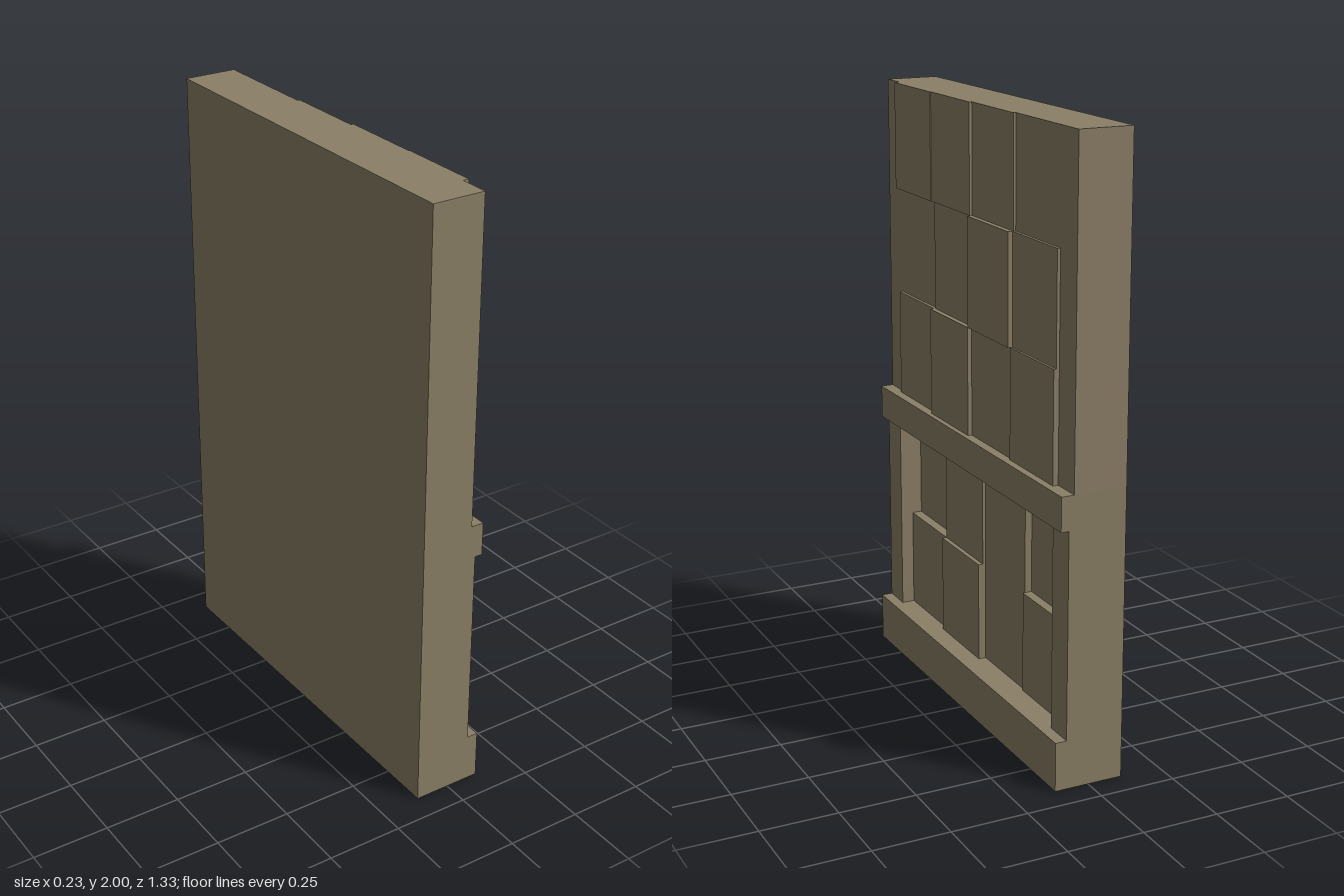
import * as THREE from 'three';

export function createModel() {
  const group = new THREE.Group();
  group.name = 'panelledWall';
  const stone = new THREE.MeshStandardMaterial({ color: 0x8b7f66 });
  stone.name = 'stone';

  const BACK = -0.115, HALF = 0.665;

  // Box given by its limits on each axis
  function block(name, x0, x1, y0, y1, z0, z1) {
    const mesh = new THREE.Mesh(new THREE.BoxGeometry(x1 - x0, y1 - y0, z1 - z0), stone);
    mesh.position.set((x0 + x1) / 2, (y0 + y1) / 2, (z0 + z1) / 2);
    mesh.name = name;
    group.add(mesh);
  }

  // Full-width courses: base, recessed lower wall, belt and upper wall
  block('basePlinth', BACK, 0.113, 0, 0.16, -HALF, HALF);
  block('lowerWall', BACK, 0, 0.16, 0.83, -0.565, 0.565);
  block('beltCourse', BACK, 0.102, 0.83, 0.94, -HALF, HALF);
  block('upperWall', BACK, 0.06, 0.94, 2, -HALF, HALF);

  // Posts framing the lower recess
  block('lowerPostFront', BACK, 0.076, 0.16, 0.83, 0.565, HALF);
  block('lowerPostBack', BACK, 0.076, 0.16, 0.83, -HALF, -0.565);

  // Tiles: each row lists the outer x of its four tiles from front to back (0 = no tile)
  const columns = [0.565, 0.283, 0, -0.283, -0.565];
  const rows = [
    { name: 'upperTile', from: 0.05, y0: 1.65, y1: 2, faces: [0.08, 0.077, 0.068, 0] },
    { name: 'upperTile', from: 0.05, y0: 1.295, y1: 1.65, faces: [0, 0.067, 0.085, 0.07] },
    { name: 'upperTile', from: 0.05, y0: 0.94, y1: 1.295, faces: [0.071, 0.085, 0.071, 0.078] },
    { name: 'lowerTile', from: -0.01, y0: 0.493, y1: 0.83, faces: [0, 0.033, 0.023, 0] },
    { name: 'lowerTile', from: -0.01, y0: 0.16, y1: 0.493, faces: [0.033, 0.048, 0.023, 0.03] },
  ];
  for (const row of rows) {
    row.faces.forEach((face, i) => {
      if (face) block(row.name, row.from, face, row.y0, row.y1, columns[i + 1], columns[i]);
    });
  }

  return group;
}
